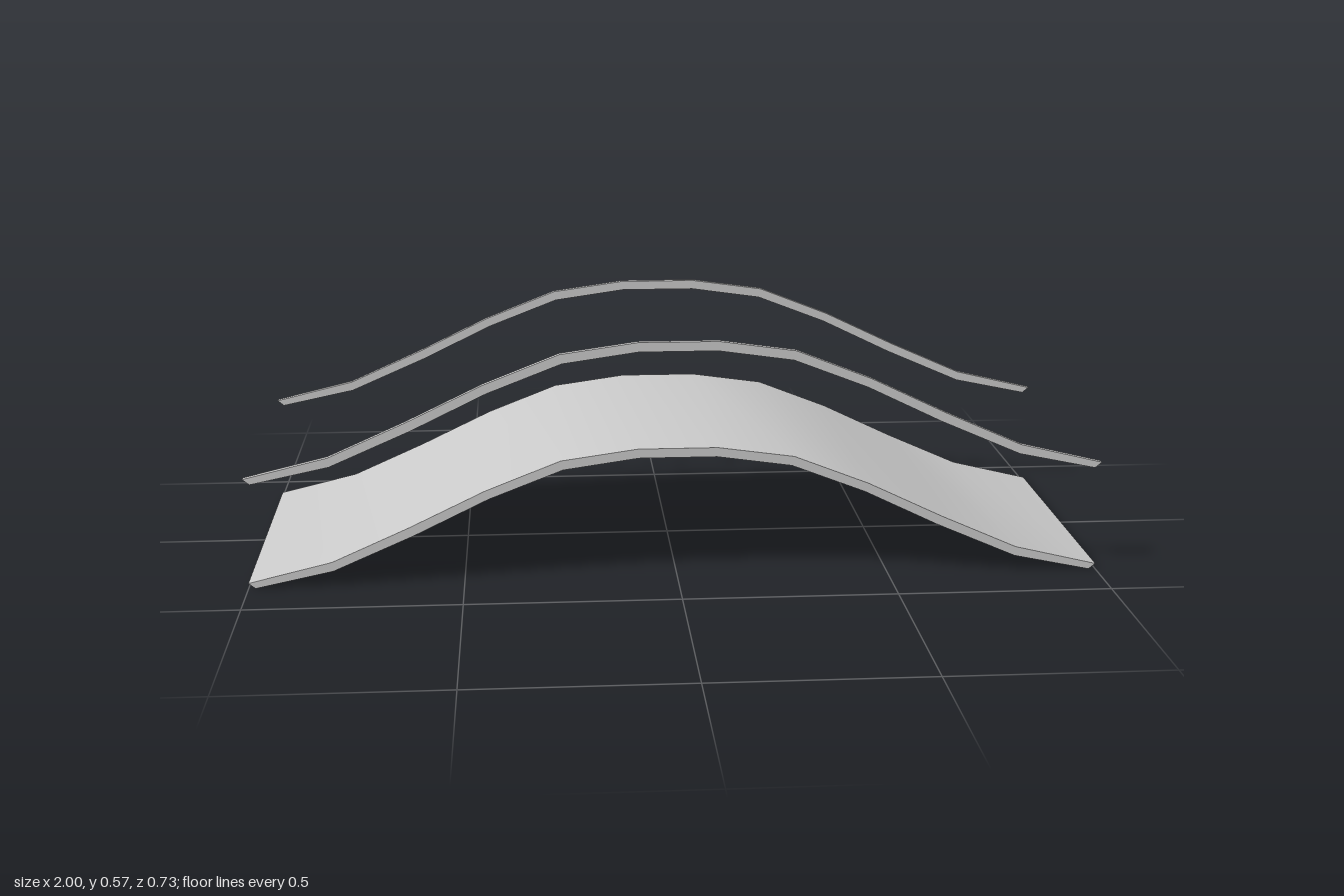
import * as THREE from 'three';
import { toCreasedNormals } from 'three/addons/utils/BufferGeometryUtils.js';

// Half of the arch, from the middle outwards: upper and lower edge
const upper = [[0.093, 0.319], [0.272, 0.294], [0.448, 0.225], [0.625, 0.140], [0.805, 0.060], [1.0, 0.013]];
const lower = [[0.091, 0.297], [0.267, 0.272], [0.440, 0.205], [0.615, 0.120], [0.803, 0.038], [0.984, 0.0]];

// Full edge from left to right, mirrored about x = 0
const mirrored = (half) => [...half.map(([x, y]) => [-x, y]).reverse(), ...half];

// Arched strip of the given z width, smooth along its length with sharp edges
function archStrip(name, width, y, z) {
  const outline = [...mirrored(lower), ...mirrored(upper).reverse()];
  const shape = new THREE.Shape(outline.map(([px, py]) => new THREE.Vector2(px, py)));
  const geometry = new THREE.ExtrudeGeometry(shape, { depth: width, bevelEnabled: false });
  geometry.translate(0, y, z - width / 2);
  const material = new THREE.MeshStandardMaterial({ color: 0xcccccc });
  const mesh = new THREE.Mesh(toCreasedNormals(geometry, 0.35), material);
  mesh.name = name;
  return mesh;
}

export function createModel() {
  const bridge = new THREE.Group();
  bridge.name = 'archedBridge';

  // Walking deck
  bridge.add(archStrip('deck', 0.718, 0, 0));

  // Handrails floating above both long edges
  for (const [name, side] of [['frontHandrail', 1], ['backHandrail', -1]]) {
    bridge.add(archStrip(name, 0.015, 0.254, side * 0.359));
  }
  return bridge;
}
